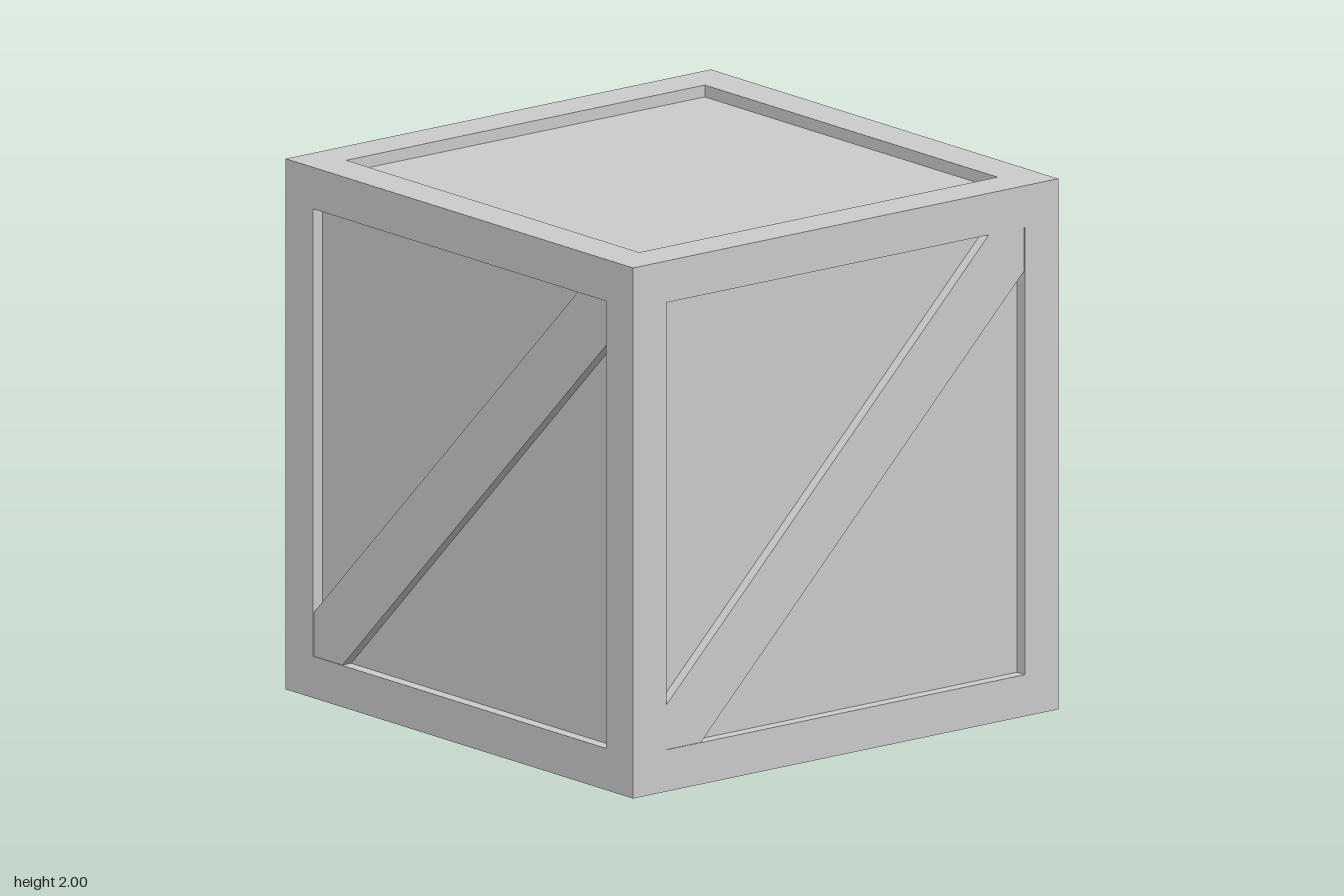
import * as THREE from 'three';

const SIZE = 2;        // outer size of the crate
const BEAM = 0.157;    // width of the frame beams
const RECESS = 0.045;  // depth of the panels behind the frame
const BRACE_GAP = 0.004; // the braces sit just behind the frame face
const BRACE_HALF = 0.165; // half height of the brace, measured vertically

export function createModel() {
  const crate = new THREE.Group();
  crate.name = 'crate';
  const material = new THREE.MeshStandardMaterial({ color: 0xcccccc, flatShading: true });

  const add = (name, geometry, parent = crate) => {
    const mesh = new THREE.Mesh(geometry, material);
    mesh.name = name;
    parent.add(mesh);
    return mesh;
  };

  // Recessed panels: one closed inner box
  const inner = SIZE - 2 * RECESS;
  add('panels', new THREE.BoxGeometry(inner, inner, inner)).position.y = SIZE / 2;

  // Frame: four posts, with rails between them at top and bottom
  const frame = new THREE.Group();
  frame.name = 'frame';
  crate.add(frame);
  const mid = (SIZE - BEAM) / 2;
  const span = SIZE - 2 * BEAM;
  for (const a of [-mid, mid]) {
    for (const b of [-mid, mid]) {
      add('post', new THREE.BoxGeometry(BEAM, SIZE, BEAM), frame).position.set(a, SIZE / 2, b);
      add('sideRail', new THREE.BoxGeometry(BEAM, BEAM, span), frame).position.set(a, SIZE / 2 + b, 0);
      add('crossRail', new THREE.BoxGeometry(span, BEAM, BEAM), frame).position.set(0, SIZE / 2 + b, a);
    }
  }

  // Diagonal brace, cut to fit the corners of the frame opening
  const h = span / 2;
  const c = h - BRACE_HALF;
  const outline = new THREE.Shape([
    [-h, -h], [-c, -h], [h, c], [h, h], [c, h], [-h, -c],
  ].map(([x, y]) => new THREE.Vector2(x, y)));
  const braceGeometry = new THREE.ExtrudeGeometry(outline, {
    depth: RECESS - BRACE_GAP, bevelEnabled: false,
  });
  braceGeometry.translate(0, SIZE / 2, SIZE / 2 - RECESS);

  // One brace on each of the four upright sides
  for (let i = 0; i < 4; i++) {
    add('brace', braceGeometry).rotation.y = (i * Math.PI) / 2;
  }
  return crate;
}
